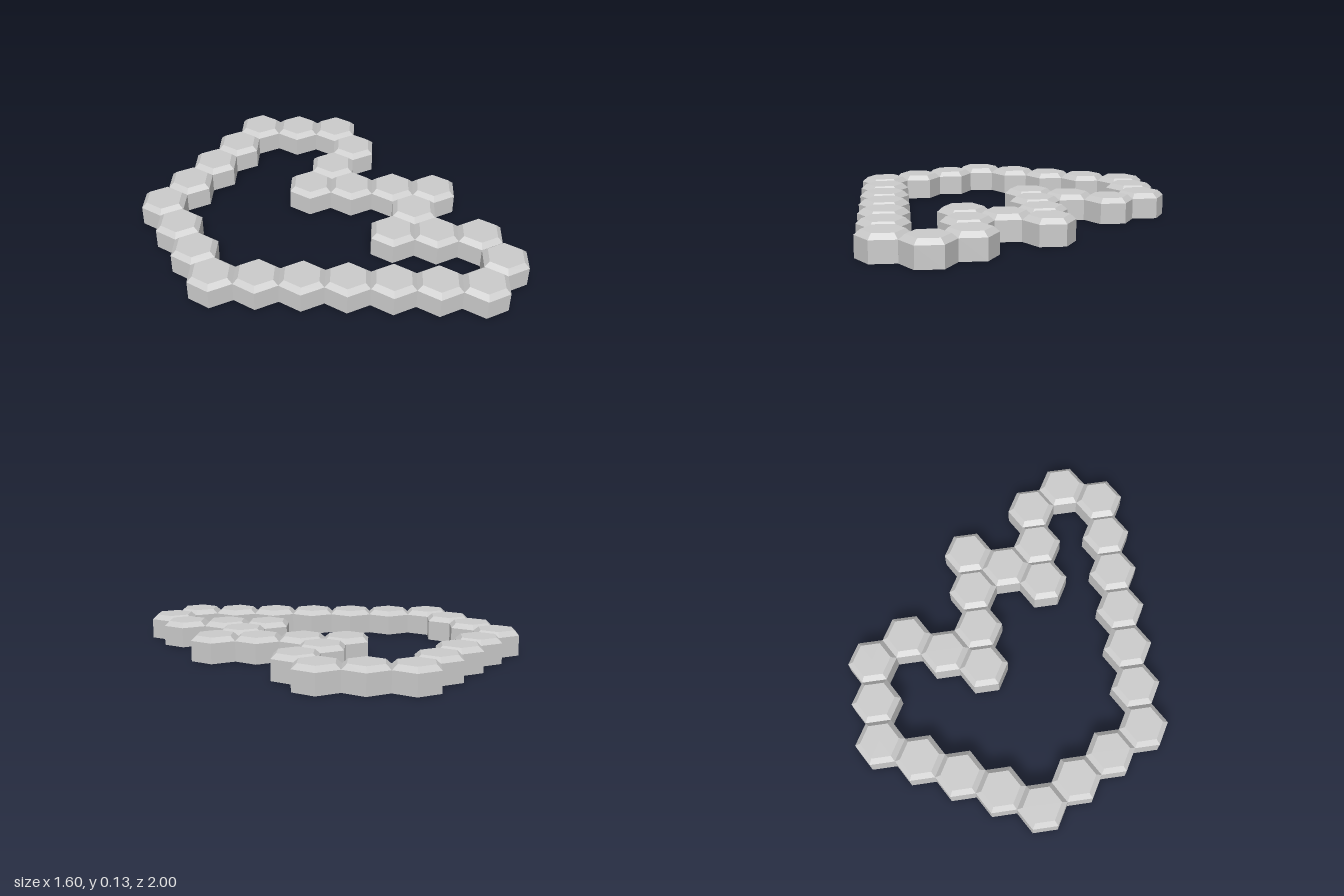
import * as THREE from 'three';

const APOTHEM = 1 / 9;                       // half the flat-to-flat width of a tile
const RADIUS = APOTHEM / Math.cos(Math.PI / 6);
const HEIGHT = 0.13, BEVEL = 0.025;

// Half-step rows occupied in each column, from left (-x) to right (+x)
const COLUMNS = [
  [4, 6, 8, 10],
  [3, 11],
  [2, 12],
  [1, 13],
  [0, 6, 14],
  [1, 5, 7, 11, 15],
  [2, 4, 8, 10, 12, 16],
  [9, 13, 15],
];

// Hexagonal prism with a bevelled top rim, corners on the x axis
function hexTileGeometry() {
  const profile = [
    [0, 0],
    [RADIUS, 0],
    [RADIUS, HEIGHT - BEVEL],
    [RADIUS - 0.029, HEIGHT],
    [0, HEIGHT],
  ].map(([x, y]) => new THREE.Vector2(x, y));
  return new THREE.LatheGeometry(profile, 6, Math.PI / 2);
}

export function createModel() {
  const model = new THREE.Group();
  model.name = 'hexTileRing';
  const geometry = hexTileGeometry();
  const material = new THREE.MeshStandardMaterial({ color: 0xcccccc, flatShading: true });

  // Tiles on a honeycomb grid
  COLUMNS.forEach((rows, c) => {
    for (const row of rows) {
      const tile = new THREE.Mesh(geometry, material);
      tile.name = `hexTile_${c}_${row}`;
      tile.position.set((c - 3.5) * 1.5 * RADIUS, 0, (row - 8) * APOTHEM);
      model.add(tile);
    }
  });
  return model;
}
